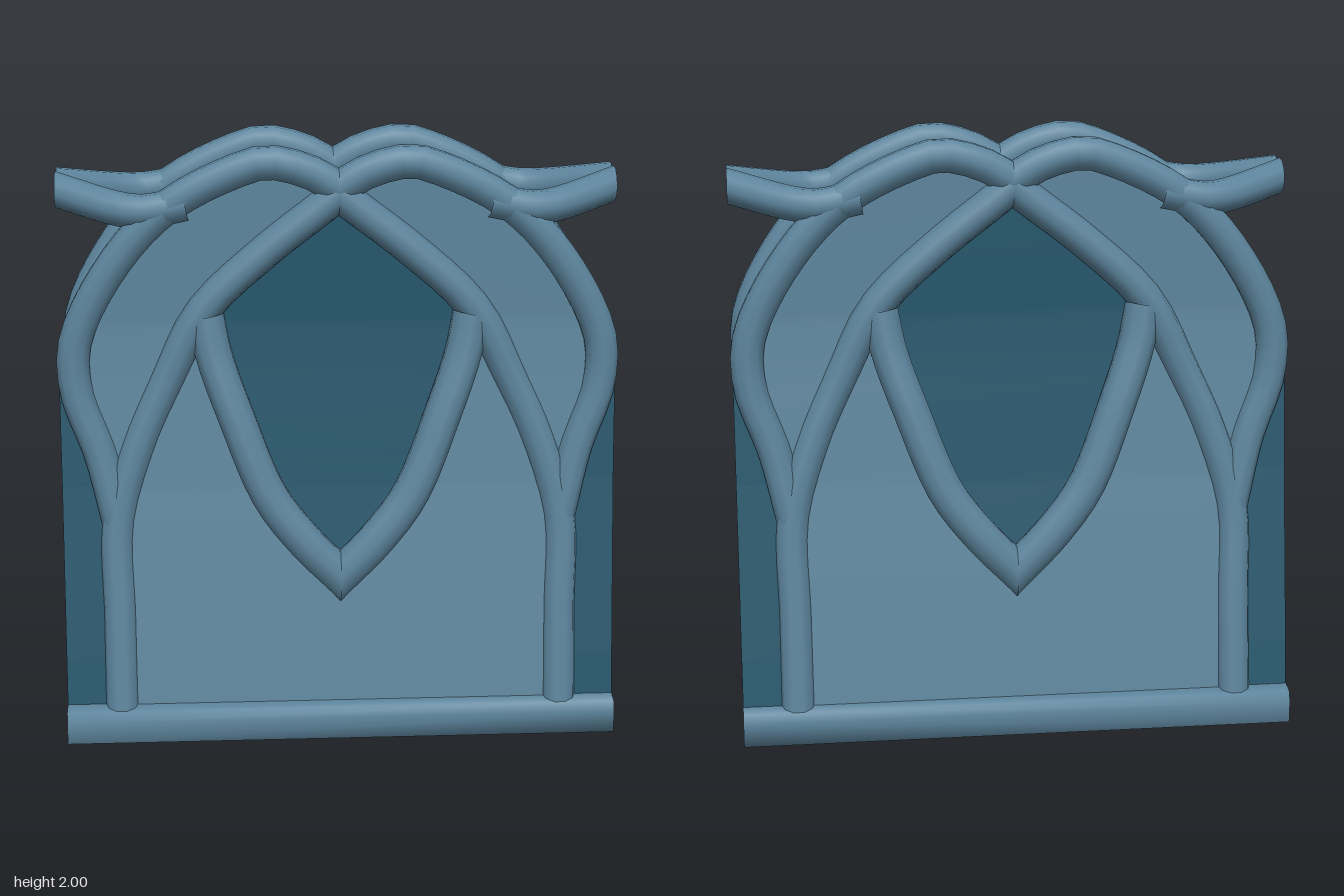
import * as THREE from 'three';

const HALF = 0.93, R = 0.057, SIDES = 10;

// Piecewise-linear lookup in [key, value] pairs
function lerpAt(table, k) {
  if (k <= table[0][0]) return table[0][1];
  for (let i = 1; i < table.length; i++) {
    const [a, va] = table[i - 1], [b, vb] = table[i];
    if (k <= b) return va + (vb - va) * (k - a) / (b - a);
  }
  return table[table.length - 1][1];
}

// Depth of the wall and of the frame tubes at a height
const WALL = [[0.08, 0.37], [0.27, 0.34], [0.86, 0.24], [1.24, 0.195], [1.4, 0.18]];
const FRAME = [[0.05, 0.37], [0.45, 0.3], [0.85, 0.23], [1.25, 0.19]];

// Centre lines of the frame as [x, y], each ending past the middle
const LEG = [[0.745, 0.06], [0.745, 0.42], [0.745, 0.74], [0.67, 1], [0.58, 1.2], [0.45, 1.45], [0.24, 1.65], [0.08, 1.775], [0, 1.837], [-0.09, 1.907]];
const ARC = [[0.745, 0.74], [0.8, 0.97], [0.873, 1.18], [0.873, 1.35], [0.74, 1.61], [0.56, 1.8], [0.32, 1.922], [0.23, 1.943], [0.1, 1.912], [0, 1.857], [-0.08, 1.813]];
// V centre line and horn as [x, y, z]
const VEE = [[0.44, 1.43, 0.19], [0.415, 1.3, 0.21], [0.345, 1.1, 0.25], [0.235, 0.83, 0.29], [0.115, 0.67, 0.308], [0, 0.55, 0.308], [-0.09, 0.456, 0.308]];
const HORN = [[0.5, 1.81, 0.19], [0.64, 1.785, 0.19], [0.72, 1.79, 0.165], [0.93, 1.832, 0.045], [1.02, 1.85, -0.006]];

// Inner and outer panel edges as [y, x]
const INNER = [[0.55, 0], [0.67, 0.115], [0.83, 0.235], [1.1, 0.345], [1.3, 0.415], [1.43, 0.44], [1.65, 0.24], [1.85, 0], [1.943, 0.23]];
const OUTER = [[0.08, 0.745], [0.74, 0.745], [0.97, 0.8], [1.18, 0.873], [1.35, 0.873], [1.61, 0.74], [1.8, 0.56], [1.922, 0.32], [1.943, 0.23]];

// Surface through rows of [x, y, z] points
function surface(rows) {
  const n = rows[0].length, index = [];
  for (let i = 0; i < rows.length - 1; i++) {
    for (let j = 0; j < n - 1; j++) {
      const a = i * n + j, b = a + n;
      index.push(a, a + 1, b, a + 1, b + 1, b);
    }
  }
  const geo = new THREE.BufferGeometry();
  geo.setAttribute('position', new THREE.Float32BufferAttribute(rows.flat(2), 3));
  geo.setIndex(index);
  geo.computeVertexNormals();
  return geo;
}

// Round tube whose far end is mitred on the plane x = cut
function tube(points, segments, radius, cut) {
  const curve = new THREE.CatmullRomCurve3(points.map(p => new THREE.Vector3(...p)), false, 'centripetal');
  const geo = new THREE.TubeGeometry(curve, segments, radius, SIDES);
  const pos = geo.attributes.position;
  const dir = Math.sign(points[points.length - 1][0] - points[0][0]);
  const here = new THREE.Vector3(), before = new THREE.Vector3();
  for (let i = SIDES + 1; i < pos.count; i++) {
    here.fromBufferAttribute(pos, i);
    if (dir * (here.x - cut) <= 0) continue;
    before.fromBufferAttribute(pos, i - SIDES - 1);
    const span = here.x - before.x;
    const t = Math.abs(span) < 1e-6 ? 0 : (cut - before.x) / span;
    before.lerp(here, t);
    pos.setXYZ(i, before.x, before.y, before.z);
  }
  return geo;
}

// Sorted row heights between two limits
function heights(from, to) {
  const keys = [from, to, ...INNER.map(p => p[0]), ...OUTER.map(p => p[0]), ...WALL.map(p => p[0])];
  return [...new Set(keys)].filter(y => y >= from && y <= to).sort((a, b) => a - b);
}

export function createModel() {
  const model = new THREE.Group();
  const steel = new THREE.MeshStandardMaterial({ color: 0x5c849c, side: THREE.DoubleSide });
  steel.name = 'steel blue';
  const teal = new THREE.MeshStandardMaterial({ color: 0x22556a, side: THREE.DoubleSide });
  teal.name = 'deep teal';

  function add(name, geo, mat) {
    const mesh = new THREE.Mesh(geo, mat);
    mesh.name = name;
    model.add(mesh);
  }

  // Tapered core running the full width
  const side = WALL.slice(0, 4).map(([y, z]) => [z, y]);
  const outline = [...side, [0.1, 1.255], [0.04, 1.28], [-0.04, 1.28], [-0.1, 1.255], ...side.map(([z, y]) => [-z, y]).reverse()];
  const core = new THREE.ExtrudeGeometry(new THREE.Shape(outline.map(p => new THREE.Vector2(...p))), { depth: 2 * HALF, bevelEnabled: false });
  core.translate(0, 0, -HALF).rotateY(Math.PI / 2);
  add('core', core, teal);

  // Underside
  add('floor', new THREE.BoxGeometry(2 * HALF, 0.008, 0.74).translate(0, 0.076, 0), steel);

  // Arched roof between the two frames
  const crown = [[0, 1.84], [0.1, 1.885], [0.23, 1.915], [0.32, 1.895], [0.56, 1.77], [0.73, 1.58], [0.87, 1.36], [0.925, 1.24]];
  for (const sx of [1, -1]) {
    add('roof', surface(crown.map(([x, y]) => [[sx * x, y, -0.18], [sx * x, y, 0.18]])), steel);
  }

  for (const sz of [1, -1]) {
    // Wall panels around the diamond opening
    for (const sx of [1, -1]) {
      const rows = heights(0.08, 1.943).map(y => {
        const z = sz * (lerpAt(WALL, y) + 0.009);
        return [[sx * lerpAt(INNER, y), y, z], [sx * lerpAt(OUTER, y), y, z]];
      });
      add('wallPanel', surface(rows), steel);
    }

    // Diamond window
    const pane = heights(0.55, 1.85).map(y => {
      const x = lerpAt(INNER, y), z = sz * (lerpAt(WALL, y) + 0.003);
      return [[-x, y, z], [x, y, z]];
    });
    add('diamondWindow', surface(pane), teal);

    // Legs, arches, horns and the bulging V below the diamond
    for (const sx of [1, -1]) {
      const flat = ([x, y]) => [sx * x, y, sz * lerpAt(FRAME, y)];
      const deep = ([x, y, z]) => [sx * x, y, sz * z];
      add('leg', tube(LEG.map(flat), 28, R, 0), steel);
      add('arch', tube(ARC.map(flat), 30, R, 0), steel);
      add('horn', tube(HORN.map(deep), 12, R, sx * HALF), steel);
      add('veeFrame', tube(VEE.map(deep), 20, 0.063, 0), steel);
    }

    // Base rail, a rounded square pipe with open ends
    const rail = [[0, 0], [-0.06, 0.003], [-0.06, 0.08], [-0.045, 0.112], [0, 0.12], [0.045, 0.112], [0.06, 0.08], [0.06, 0.003], [0, 0]];
    add('baseRail', surface(rail.map(([z, y]) => [[-HALF, y, sz * (0.37 + z)], [HALF, y, sz * (0.37 + z)]])), steel);
  }
  return model;
}
